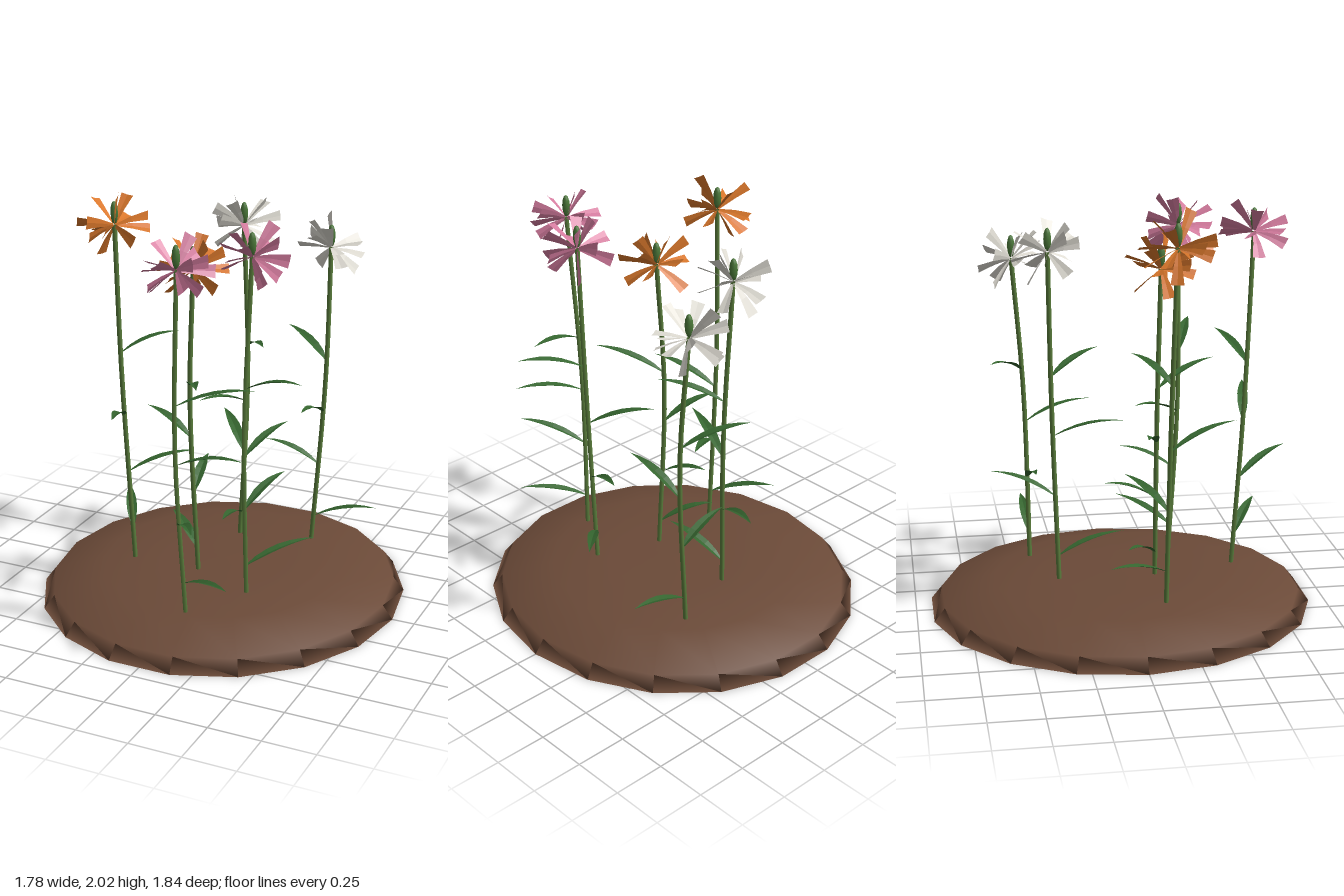
import * as THREE from 'three';

const V = (x, y, z) => new THREE.Vector3(x, y, z);
const paint = (color, flatShading = true) =>
  new THREE.MeshStandardMaterial({ color, flatShading, side: THREE.DoubleSide });

const soil = paint(0x6b4a38, false);
const stemGreen = paint(0x5a7d3c, false);
const leafGreen = paint(0x35652f);
const budGreen = paint(0x4c7a3a, false);
const orange = paint(0xd9772b);
const pink = paint(0xd57c9f);
const white = paint(0xe0ddd4);

// Small seeded generator in the range -1..1
function seeded(seed) {
  let s = seed * 7919 + 17;
  return () => {
    s = (s * 16807) % 2147483647;
    return (s / 2147483647) * 2 - 1;
  };
}

function add(parent, name, geometry, material) {
  const mesh = new THREE.Mesh(geometry, material);
  mesh.name = name;
  parent.add(mesh);
  return mesh;
}

// Folded blade along a curve; width(t) is the half width, fold lifts the edges, roll turns it
function blade(curve, rows, width, fold, roll) {
  const pos = [], index = [];
  for (let i = 0; i <= rows; i++) {
    const t = i / rows, p = curve.getPoint(t), dir = curve.getTangent(t);
    const side = V(0, 1, 0).cross(dir).normalize().applyAxisAngle(dir, roll);
    const up = dir.clone().cross(side);
    for (const s of [-1, 0, 1]) {
      const q = p.clone().addScaledVector(side, s * width(t))
        .addScaledVector(up, Math.abs(s) * fold * width(t));
      pos.push(q.x, q.y, q.z);
    }
    if (i < rows) for (const k of [0, 1]) {
      const a = i * 3 + k;
      index.push(a, a + 1, a + 3, a + 1, a + 4, a + 3);
    }
  }
  const g = new THREE.BufferGeometry();
  g.setAttribute('position', new THREE.Float32BufferAttribute(pos, 3));
  g.setIndex(index);
  g.computeVertexNormals();
  return g;
}

// Each plant: stem through base, middle and head, lean of the bloom in x and z, four leaf tips
const plants = [
  { petal: orange, lean: [-0.4, 0.2],
    stem: [[-0.41, 0.12, 0.16], [-0.46, 1.1, 0.17], [-0.47, 1.84, 0.19]],
    leaves: [[-0.59, 0.39, -0.13], [-0.15, 0.7, 0], [-0.34, 1, 0.5], [-0.22, 1.31, 0.02]] },
  { petal: orange, lean: [-0.3, 0.15],
    stem: [[-0.06, 0.12, 0.165], [-0.1, 1, 0.165], [-0.07, 1.67, 0.185]],
    leaves: [[-0.28, 0.36, 0], [-0.13, 0.65, -0.1], [-0.37, 0.93, 0.08], [0.08, 1.2, 0.47]] },
  { petal: white, lean: [-0.15, -0.3],
    stem: [[-0.05, 0.12, -0.305], [-0.02, 1, -0.33], [-0.05, 1.76, -0.345]],
    leaves: [[0, 0.36, 0.02], [0.08, 0.67, -0.62], [-0.13, 0.96, 0], [0.17, 1.25, -0.08]] },
  { petal: white, lean: [0.35, -0.3],
    stem: [[0.3, 0.12, -0.415], [0.355, 1, -0.43], [0.35, 1.66, -0.48]],
    leaves: [[0.64, 0.36, -0.43], [0.05, 0.65, -0.4], [0.36, 0.94, -0.1], [0.08, 1.2, -0.61]] },
  { petal: pink, lean: [-0.15, 0.4],
    stem: [[0.07, 0.12, 0.575], [0.045, 0.95, 0.62], [0.08, 1.81, 0.66]],
    leaves: [[0.36, 0.38, 0.75], [0.25, 0.69, 0.88], [0.41, 0.99, 0.69], [0.4, 1.27, 0.54]] },
  { petal: pink, lean: [0.2, 0.15],
    stem: [[0.25, 0.12, 0.285], [0.255, 0.95, 0.33], [0.29, 1.81, 0.33]],
    leaves: [[0.5, 0.38, 0.05], [0.34, 0.69, 0.04], [0.04, 0.98, 0.08], [0.58, 1.29, 0.44]] },
];

function flowerHead(material, [leanX, leanZ], rnd) {
  const head = new THREE.Group();
  head.name = 'flowerHead';
  const bloom = new THREE.Group();
  bloom.name = 'petals';
  bloom.rotation.set(leanZ, 0, -leanX);
  head.add(bloom);
  // Twisted wedge petals in three tiers: raised, level and drooping
  const count = 14;
  for (let i = 0; i < count; i++) {
    const angle = (i / count) * Math.PI * 2 + rnd() * 0.2;
    const tilt = [0.65, 0.05, -0.5][i % 3] + rnd() * 0.2;
    const length = 0.17 + rnd() * 0.015;
    const at = (r, lift) => V(Math.sin(angle) * Math.cos(tilt) * r,
      Math.sin(tilt) * r + lift, Math.cos(angle) * Math.cos(tilt) * r);
    const curve = new THREE.QuadraticBezierCurve3(at(0.01, 0), at(length / 2, 0.008), at(length, 0));
    add(bloom, 'petal',
      blade(curve, 2, (t) => 0.007 + 0.024 * t, 0.12, 0.8 + rnd() * 0.4), material);
  }
  // Green bud in the middle
  const bud = add(head, 'bud', new THREE.SphereGeometry(1, 6, 6), budGreen);
  bud.scale.set(0.02, 0.055, 0.02);
  bud.position.y = 0.06;
  return head;
}

function plant({ petal, lean, stem, leaves }, number) {
  const group = new THREE.Group();
  group.name = 'flower';
  const path = new THREE.CatmullRomCurve3(stem.map((p) => V(...p)));
  add(group, 'stem', new THREE.TubeGeometry(path, 10, 0.0115, 6), stemGreen);

  // Arched leaves that rise from the stem and level out at the tip
  for (const tip of leaves) {
    const end = V(...tip);
    const rootY = end.y - 0.1;
    let root = path.getPoint(0);
    for (let i = 0; i <= 100; i++) {
      const p = path.getPoint(i / 100);
      if (Math.abs(p.y - rootY) < Math.abs(root.y - rootY)) root = p;
    }
    const bend = root.clone().lerp(end, 0.5).setY(end.y - 0.005);
    const curve = new THREE.QuadraticBezierCurve3(root, bend, end);
    add(group, 'leaf', blade(curve, 6,
      (t) => 0.004 * (1 - t) + 0.024 * Math.sin(Math.PI * Math.pow(t, 0.85)), 0.3, 0), leafGreen);
  }

  const head = flowerHead(petal, lean, seeded(number + 3));
  head.position.set(...stem[2]);
  group.add(head);
  return group;
}

export function createModel() {
  const model = new THREE.Group();
  model.name = 'flowerPatch';

  // Low mound of earth with eighteen sides and a flat underside
  const profile = [[0, 0], [0.89, 0], [0.84, 0.065], [0.59, 0.135], [0.3, 0.147], [0, 0.15]];
  const mound = add(model, 'soilMound', new THREE.LatheGeometry(
    profile.map(([r, y]) => new THREE.Vector2(r, y)), 18, Math.PI / 18), soil);
  mound.scale.z = 1.05;

  plants.forEach((p, i) => model.add(plant(p, i)));
  return model;
}
